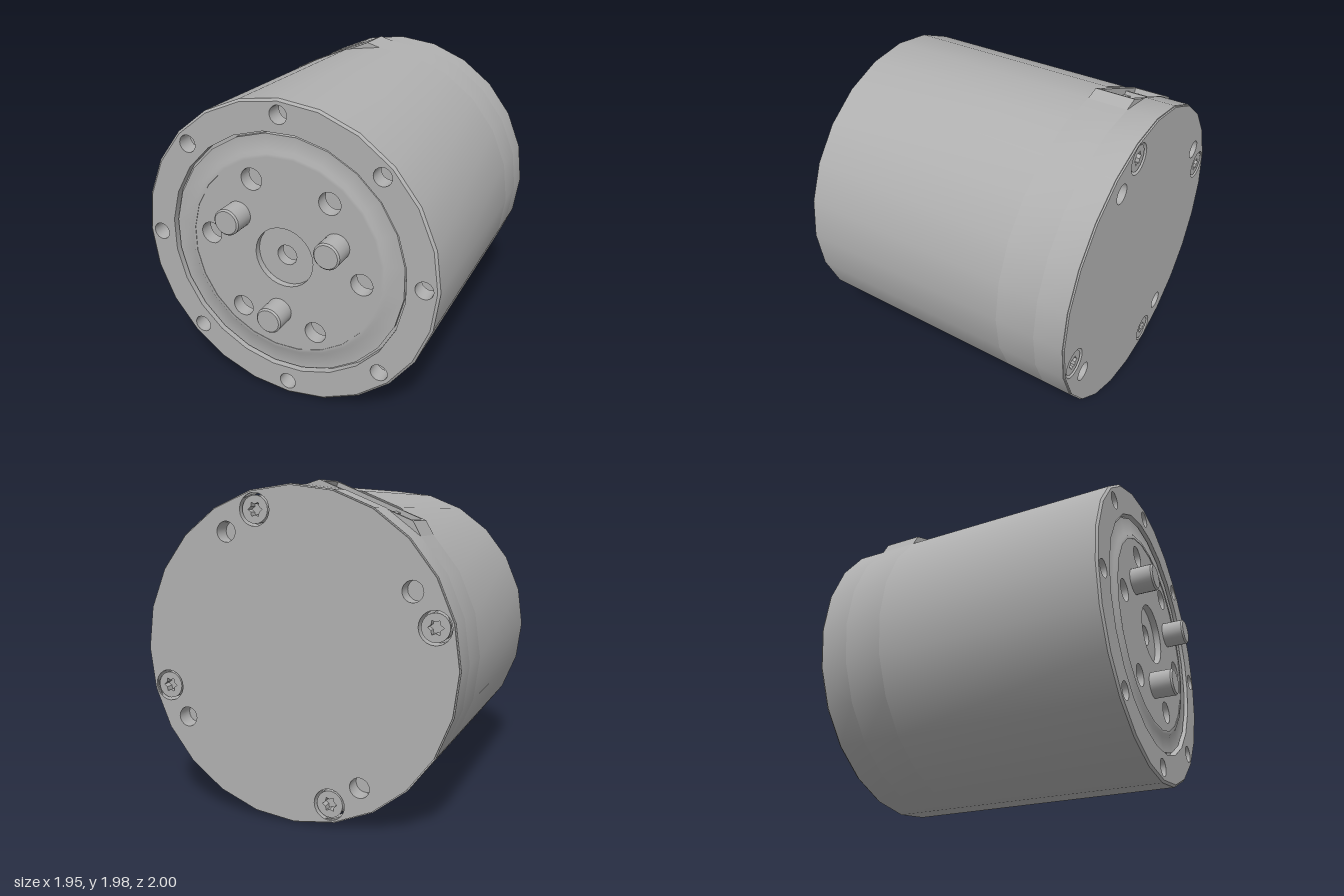
import * as THREE from 'three';
import { toCreasedNormals } from 'three/addons/utils/BufferGeometryUtils.js';

const R = 0.977, SIDES = 24, DEG = Math.PI / 180;

// Regular polygon points around (x, y)
function ring(x, y, r, n = SIDES, phase = 0) {
  return Array.from({ length: n }, (_, i) => {
    const a = phase + i * 2 * Math.PI / n;
    return new THREE.Vector2(x + r * Math.cos(a), y + r * Math.sin(a));
  });
}

// Points on a circle, given in degrees
function around(count, r, startDeg) {
  return Array.from({ length: count }, (_, i) => {
    const a = (startDeg + i * 360 / count) * DEG;
    return [r * Math.cos(a), r * Math.sin(a)];
  });
}

// Plate with holes, from z0 to z1
function plate(outline, holes, z0, z1) {
  const shape = new THREE.Shape(outline);
  holes.forEach(h => shape.holes.push(new THREE.Path(h)));
  const g = new THREE.ExtrudeGeometry(shape, { depth: z1 - z0, bevelEnabled: false });
  g.translate(0, 0, z0);
  return toCreasedNormals(g, 0.6);
}

// Surface turned about the z axis; profile is [radius, z]
function turned(profile, fromDeg = 0, sweepDeg = 360, n = SIDES) {
  const pts = profile.map(p => new THREE.Vector2(...p));
  const g = new THREE.LatheGeometry(pts, n, (fromDeg + 90) * DEG, sweepDeg * DEG);
  g.rotateX(Math.PI / 2);
  return toCreasedNormals(g, 0.6);
}

export function createModel() {
  const model = new THREE.Group();
  model.name = 'motor';
  const grey = new THREE.MeshStandardMaterial({ color: 0xb0b0b0 });
  grey.name = 'metalGrey';
  const axis = new THREE.Group();
  axis.name = 'housing';
  axis.position.y = R;
  model.add(axis);

  function add(name, geometry, parent = axis) {
    const m = new THREE.Mesh(geometry, grey);
    m.name = name;
    parent.add(m);
    return m;
  }

  // Casing in three bands; the middle one leaves an opening for the socket
  add('casingRear', turned([[0.95, -0.99], [R, -0.99], [R, -0.805]]));
  add('casingMiddle', turned([[R, -0.805], [R, -0.555]], 135, 315, 21));
  add('casingFront', turned([[R, -0.555], [R, 0.858], [0.962, 0.87]]));

  // Front flange with eight mounting holes
  const flangeHoles = around(8, 0.885, 0).map(([x, y]) => ring(x, y, 0.055, 20));
  add('frontFlange', plate(ring(0, 0, 0.962),
    [ring(0, 0, 0.785, SIDES, 7.5 * DEG), ...flangeHoles], 0.76, 0.87));

  // Stepped ring between flange and output disc
  add('bearingRing', turned([[0.787, 0.825], [0.768, 0.825], [0.768, 0.85],
    [0.67, 0.85], [0.65, 0.863], [0.63, 0.863], [0.63, 0.85]], 7.5));

  // Output disc with six holes, a sunk hub and three drive pins
  const discHoles = around(6, 0.51, 53).map(([x, y]) => ring(x, y, 0.07, 20));
  add('outputDisc', plate(ring(0, 0, 0.63, SIDES, 7.5 * DEG),
    [ring(0, 0, 0.193, 28), ...discHoles], 0.77, 0.86));
  add('hub', plate(ring(0, 0, 0.2, 28), [ring(0, 0, 0.065, 20)], 0.75, 0.82));
  around(3, 0.378, 23).forEach(([x, y]) => {
    const pin = add('drivePin', turned([[0.083, 0.8], [0.083, 0.99], [0.073, 1], [0, 1]]));
    pin.position.set(x, y, 0);
  });
  add('frontBulkhead', plate(ring(0, 0, 0.95), [], 0.7, 0.72));

  // Rear lid with four sunk screws and four plain holes
  const screws = around(4, 0.865, 75);
  const rearHoles = around(4, 0.82, 60).map(([x, y]) => ring(x, y, 0.06, 20));
  add('rearLid', plate(ring(0, 0, 0.97),
    [...screws.map(([x, y]) => ring(x, y, 0.094, 24)), ...rearHoles], -1, -0.9));
  add('rearBulkhead', plate(ring(0, 0, 0.95), [], -0.9, -0.88));
  const star = Array.from({ length: 12 }, (_, i) => {
    const r = i % 2 ? 0.03 : 0.045, a = i * 30 * DEG;
    return new THREE.Vector2(r * Math.cos(a), r * Math.sin(a));
  });
  screws.forEach(([x, y]) => {
    const screw = new THREE.Group();
    screw.name = 'lidScrew';
    screw.position.set(x, y, 0);
    axis.add(screw);
    add('screwHead', plate(ring(0, 0, 0.08, 24), [star], -0.992, -0.93), screw);
    add('screwCore', plate(ring(0, 0, 0.08, 24), [], -0.945, -0.89), screw);
  });

  // Socket set in the casing; local y points outward, local x runs along the surface
  const socket = new THREE.Group();
  socket.name = 'socket';
  socket.position.z = -0.68;
  socket.rotation.z = 22.5 * DEG;
  axis.add(socket);
  const half = R * Math.sin(22.5 * DEG), edge = R * Math.cos(22.5 * DEG);
  const low = 0.78, top = 0.962, lip = 0.3;
  const poly = pts => pts.map(p => new THREE.Vector2(...p));
  const box = (name, x0, x1, y0, y1, z0, z1) => {
    const g = new THREE.BoxGeometry(x1 - x0, y1 - y0, z1 - z0);
    g.translate((x0 + x1) / 2, (y0 + y1) / 2, (z0 + z1) / 2);
    return add(name, g, socket);
  };
  const arc = [67.5, 82.5, 97.5, 112.5].map(d => [R * Math.cos(d * DEG), R * Math.sin(d * DEG)]);
  const cut = poly([[-half, low], [half, low], ...arc]);
  const side = poly([[-half, low], [half, low], [half, edge], [lip, top], [-lip, top], [-half, edge]]);
  for (const s of [-1, 1]) {
    add('openingWall', plate(cut, [], s * 0.13 - 0.005, s * 0.13 + 0.005), socket);
    add('socketSide', plate(side, [], s * 0.112 - 0.013, s * 0.112 + 0.013), socket);
    const end = [[half, low], [half, edge], [lip, top], [lip - 0.02, top], [lip - 0.02, low]];
    const pts = poly(end.map(([x, y]) => [s * x, y]));
    add('socketEnd', plate(pts, [], -0.125, 0.125), socket);
  }
  box('socketFloor', -half, half, low - 0.02, low, -0.13, 0.13);
  box('socketDivider', -0.15, -0.12, low, 0.945, -0.1, 0.1);
  box('cellLedge', -0.28, -0.25, low, 0.93, -0.1, 0.1);
  box('rearLedge', -0.12, 0.28, low, 0.92, -0.1, -0.06);
  box('frontLedge', -0.12, 0.28, low, 0.92, 0.06, 0.1);
  box('keyTab', 0.02, 0.18, 0.92, 0.95, -0.1, -0.085);

  // Rounded contacts in the socket
  for (const x of [0.01, 0.19]) {
    const g = new THREE.CapsuleGeometry(0.038, 0.06, 6, 14);
    g.rotateZ(Math.PI / 2);
    add('contact', g, socket).position.set(x, 0.86, 0);
  }
  return model;
}
